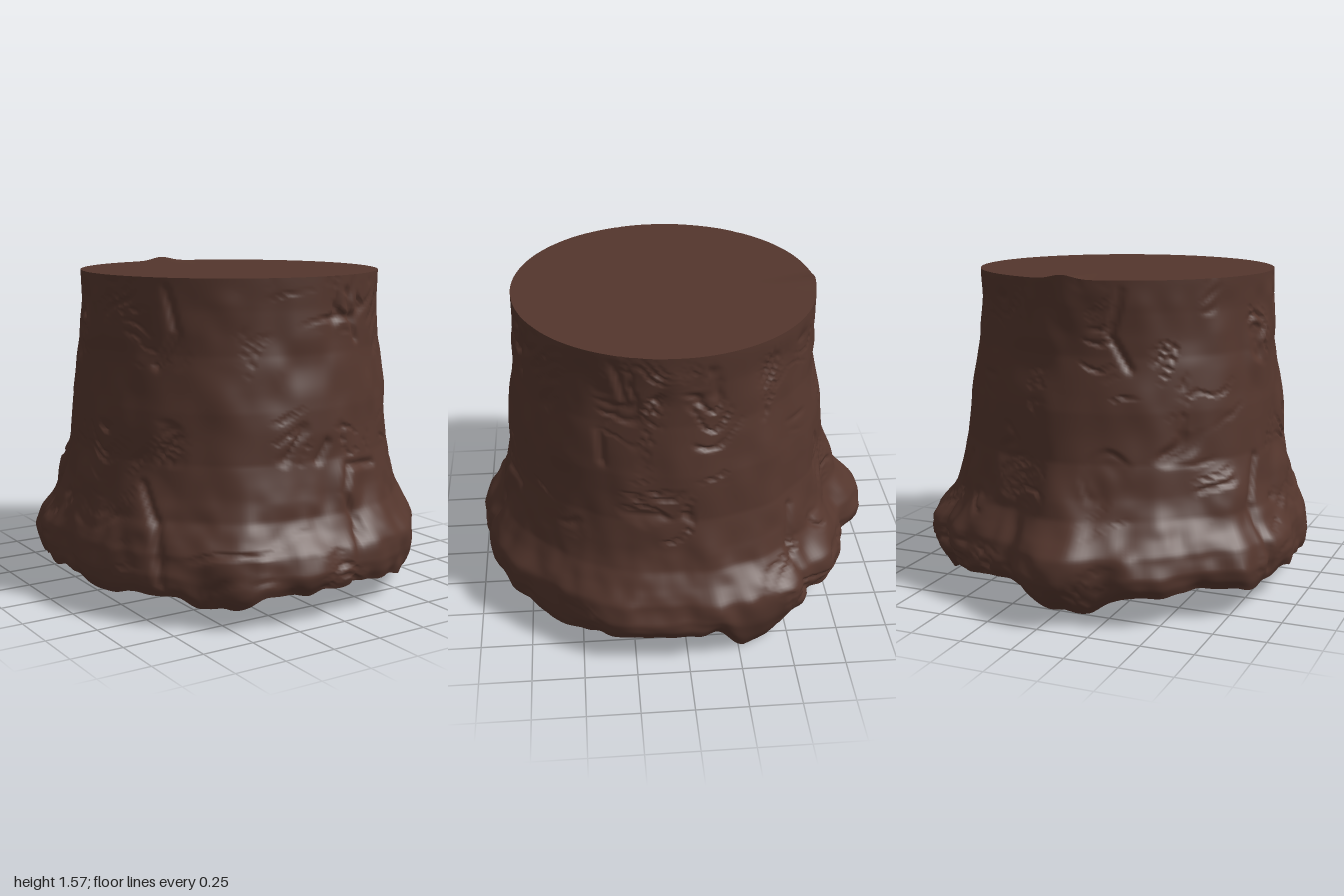
import * as THREE from 'three';

const TAU = Math.PI * 2, SEG = 270, ROWS = 120, TOP = 1.545, BASE = 0.15;
const smooth = t => t * t * (3 - 2 * t);
const clamp01 = t => Math.min(1, Math.max(0, t));

// root outline: radius every 15 degrees, from +x towards +z
const OUTLINE = [0.95, 0.97, 0.96, 0.98, 0.99, 0.98, 0.99, 0.99, 1.04, 0.99, 0.98, 0.98,
  0.94, 0.95, 0.98, 0.93, 0.95, 0.96, 1.02, 0.9, 0.93, 0.93, 0.98, 0.97];
// flare profile: [height, how far the trunk has spread to the root outline]
const FLARE = [[0.15, 0.9], [0.19, 0.98], [0.24, 1], [0.33, 0.9], [0.4, 0.71], [0.47, 0.55], [0.57, 0.44],
  [0.72, 0.3], [0.95, 0.22], [1.05, 0.16], [1.2, 0.06], [1.4, 0.01], [1.55, 0]];
// hanging root lobes: [angle, half width, depth] in degrees and units
const LOBES = [[337, 11, 0.15], [262, 11, 0.085], [45, 20, 0.06], [125, 9, 0.05], [160, 7, 0.03], [205, 8, 0.03]];
// knots: [angle, height, size, swelling]
const KNOTS = [[80, 0.62, 0.12, 0.015], [65, 0.38, 0.16, 0.02], [100, 0.3, 0.15, 0.015], [150, 0.5, 0.16, 0.025],
  [180, 0.58, 0.12, 0.02], [262, 0.3, 0.14, 0.02], [215, 0.55, 0.15, 0.025], [310, 0.3, 0.12, 0.015],
  [188, 1.2, 0.18, 0.02]];
// bark cracks as short paths of [angle, height]
const CRACKS = [
  [[84, 0.15], [83, 0.32], [80, 0.42], [83, 0.56], [80, 0.68], [66, 0.66]],
  [[88, 0.8], [92, 0.72]], [[70, 1.25], [74, 1.42], [71, 1.53]],
  [[22, 1.5], [18, 1.3], [28, 1.15], [27, 1.0]], [[145, 1.5], [141, 1.3], [148, 1.15]],
  [[140, 0.2], [143, 0.45], [150, 0.62]], [[200, 0.2], [204, 0.5], [198, 0.7]],
  [[320, 0.2], [322, 0.45], [318, 0.65]], [[250, 1.5], [254, 1.3], [247, 1.15]]];

// seeded smooth 3D noise in -1..1
function hash(x, y, z) {
  let h = Math.imul(x, 374761393) ^ Math.imul(y, 668265263) ^ Math.imul(z, 873305821);
  h = Math.imul(h ^ (h >>> 13), 1274126177);
  return ((h ^ (h >>> 16)) >>> 0) / 2147483648 - 1;
}
function noise(x, y, z) {
  const i = Math.floor(x), j = Math.floor(y), k = Math.floor(z);
  const u = smooth(x - i), v = smooth(y - j), w = smooth(z - k);
  const mix = THREE.MathUtils.lerp;
  const edge = (b, c) => mix(hash(i, j + b, k + c), hash(i + 1, j + b, k + c), u);
  return mix(mix(edge(0, 0), edge(1, 0), v), mix(edge(0, 1), edge(1, 1), v), w);
}

function flareAt(y) {
  for (let i = 1; i < FLARE.length; i++) {
    const [y0, a] = FLARE[i - 1], [y1, b] = FLARE[i];
    if (y <= y1) return a + (b - a) * clamp01((y - y0) / (y1 - y0));
  }
  return 0;
}
function outlineAt(a) {
  const t = ((a / TAU) * 24 + 24) % 24, i = Math.floor(t);
  return THREE.MathUtils.lerp(OUTLINE[i % 24], OUTLINE[(i + 1) % 24], smooth(t - i));
}
// signed angle difference in radians
const turn = (a, deg) => {
  const d = a - deg * Math.PI / 180;
  return Math.atan2(Math.sin(d), Math.cos(d));
};
function lobeDrop(a) {
  let drop = 0;
  for (const [deg, width, depth] of LOBES) {
    const d = turn(a, deg) / (width * Math.PI / 180);
    drop = Math.max(drop, depth * smooth(clamp01(1.35 - Math.abs(d))));
  }
  return drop;
}
const bottomAt = a =>
  Math.max(0, BASE - lobeDrop(a) + 0.014 * noise(Math.cos(a) * 11, 3, Math.sin(a) * 11));

function crackDepth(a, y) {
  let depth = 0;
  for (const path of CRACKS) for (let i = 1; i < path.length; i++) {
    const [d0, y0] = path[i - 1], [d1, y1] = path[i];
    const px = turn(a, d0) * 0.85, py = y - y0;
    const sx = (d1 - d0) * Math.PI / 180 * 0.85, sy = y1 - y0;
    const t = clamp01((px * sx + py * sy) / (sx * sx + sy * sy));
    const dist = Math.hypot(px - sx * t, py - sy * t);
    depth = Math.max(depth, Math.exp(-((dist / 0.018) ** 2)));
  }
  return depth * 0.018;
}

// bark relief: broad swellings, short slanted creases, knots and cracks
function relief(a, y) {
  const c = Math.cos(a), s = Math.sin(a);
  const q = a + 2 * y + 0.5 * noise(c * 4, y * 4, s * 4);
  const low = smooth(clamp01((0.75 - y) / 0.5));
  let r = 0.006 * noise(c * 3.5, y * 3.5, s * 3.5) + (0.008 + 0.012 * low) * noise(c * 7 + 9, y * 7, s * 7);
  r += 0.011 * low * noise(c * 13, y * 13, s * 13 + 7);
  const crease = Math.max(0, 1 - 6 * Math.abs(noise(Math.cos(q) * 7, y * 5, Math.sin(q) * 7 + 20)));
  r -= 0.02 * crease * clamp01(1.8 * noise(c * 5 + 5, y * 5, s * 5 + 5));
  for (const [deg, h, size, amp] of KNOTS) {
    const d = Math.hypot(turn(a, deg) * 0.85, y - h) / size;
    r += amp * smooth(clamp01(1.2 - d));
  }
  return r - 0.006 * low - crackDepth(a, y);
}

// point on the bark, t = 0 at the cut and 1 at the lower edge
function barkPoint(a, t) {
  const y = TOP + (BASE - TOP) * t;
  const w = flareAt(y);
  const fade = 0.12 + 0.88 * smooth(clamp01((TOP - y) / 0.12));
  const sag = smooth(clamp01((t - 0.88) / 0.12));
  // the trunk is slightly pinched at the waist, most on the back left
  const waist = smooth(clamp01((TOP - y) / 0.25)) * smooth(clamp01((y - 0.28) / 0.25));
  const pinch = 0.006 * (1 + Math.cos(turn(a, 330))) * waist;
  const cx = -0.015 * (1 - w), cz = 0.045 * (1 - w);
  const radius = 0.73 * (1 - w) + outlineAt(a) * w + relief(a, y) * fade - pinch - 0.5 * lobeDrop(a) * sag;
  const rim = 0.02 * Math.exp(-((turn(a, 272) / 0.1) ** 2)) * clamp01(1 - t * 15);
  return [cx + radius * Math.cos(a), y + (bottomAt(a) - BASE) * sag + rim, cz + radius * Math.sin(a)];
}

// closed rings joined from top to bottom, facing outwards
function loft(rows, pointAt) {
  const pos = [], index = [];
  for (let j = 0; j <= rows; j++) for (let i = 0; i < SEG; i++) pos.push(...pointAt(i / SEG * TAU, j / rows));
  for (let j = 0; j < rows; j++) for (let i = 0; i < SEG; i++) {
    const k = (i + 1) % SEG, a = j * SEG + i, b = j * SEG + k, d = a + SEG, e = b + SEG;
    index.push(d, a, b, d, b, e);
  }
  const g = new THREE.BufferGeometry();
  g.setAttribute('position', new THREE.Float32BufferAttribute(pos, 3));
  g.setIndex(index);
  g.computeVertexNormals();
  return g;
}

export function createModel() {
  const group = new THREE.Group();
  const bark = new THREE.MeshStandardMaterial({ color: 0x54362d });
  bark.name = 'dark brown bark';
  const add = (name, geometry) => {
    const mesh = new THREE.Mesh(geometry, bark);
    mesh.name = name;
    group.add(mesh);
  };

  // trunk flaring into the roots
  add('trunkBark', loft(ROWS, barkPoint));

  // flat cut, sharing the rim of the bark
  add('cutTop', loft(4, (a, t) => {
    const [x, y, z] = barkPoint(a, 0);
    return [-0.015 + (x + 0.015) * t, TOP + (y - TOP) * smooth(clamp01(t * 4 - 3)), 0.045 + (z - 0.045) * t];
  }));

  // underside: lobes curl back up to a level floor
  add('underside', loft(24, (a, t) => {
    const [x, y, z] = barkPoint(a, 1);
    const k = t < 0.5 ? 1 - 0.4 * t : 0.8 * (1 - (t - 0.5) * 2);
    return [x * k, BASE + (y - BASE) * (1 - smooth(clamp01(t * 2))), z * k];
  }));
  return group;
}
